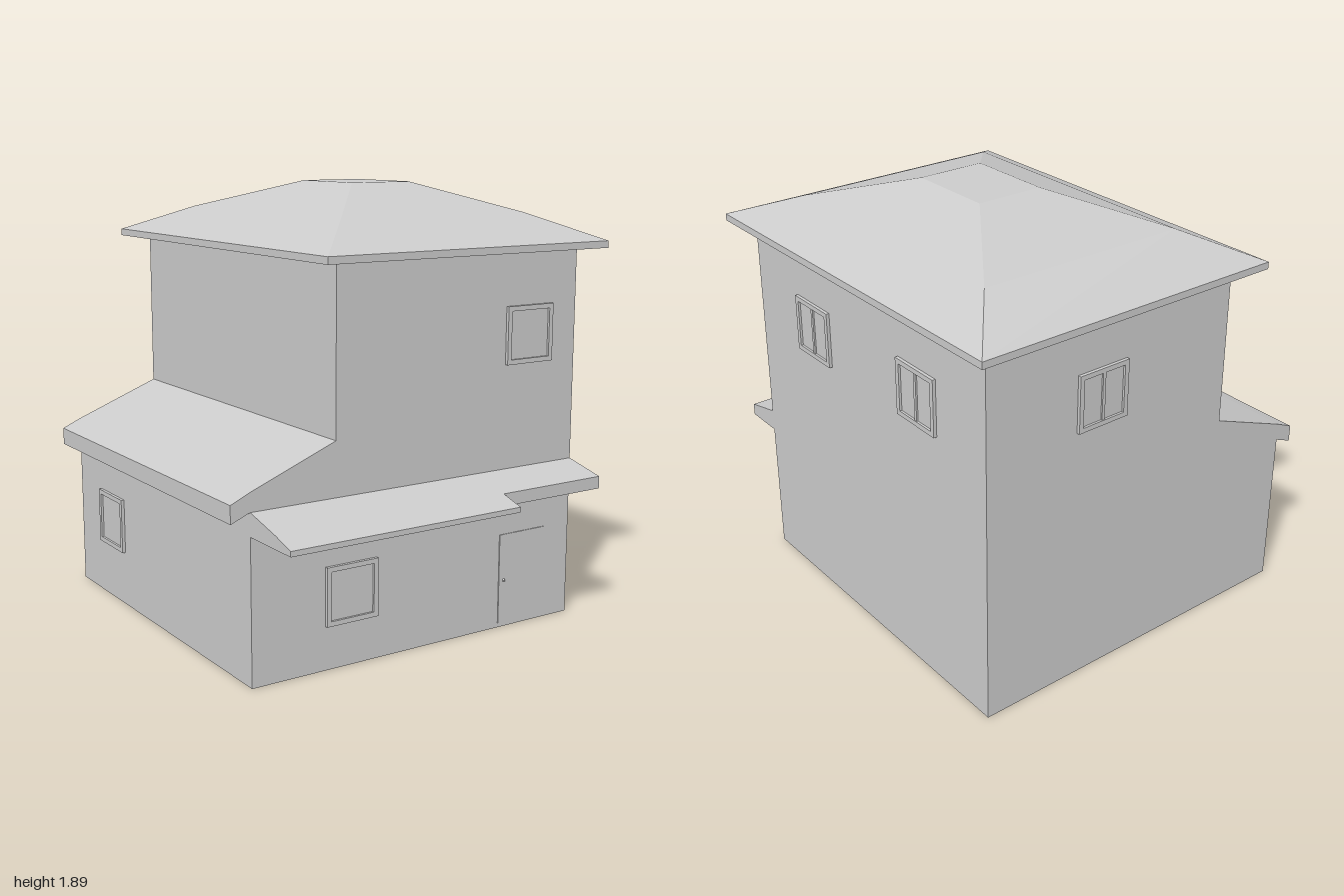
import * as THREE from 'three';

export function createModel() {
  const house = new THREE.Group();
  house.name = 'house';
  const mat = new THREE.MeshStandardMaterial({ color: 0xcccccc, flatShading: true });

  const add = (parent, name, geometry, x = 0, y = 0, z = 0) => {
    const mesh = new THREE.Mesh(geometry, mat);
    mesh.name = name;
    mesh.position.set(x, y, z);
    parent.add(mesh);
    return mesh;
  };
  const extrude = (points, depth) => new THREE.ExtrudeGeometry(
    new THREE.Shape(points.map(([x, y]) => new THREE.Vector2(x, y))),
    { depth, bevelEnabled: false });

  // Walls with the lean-to roof, as one front profile run from back to front
  add(house, 'walls', extrude([
    [-0.81, 0], [0.8, 0], [0.8, 1.63], [-0.425, 1.63], [-0.425, 0.93],
    [-0.81, 0.78], [-0.895, 0.742], [-0.895, 0.667], [-0.81, 0.702],
  ], 1.61), 0, 0, -0.9);

  // Front canopy: a long deep part and a shorter part over the door
  const canopy = (name, profile, x0, x1) =>
    add(house, name, extrude(profile, x1 - x0).rotateY(-Math.PI / 2), x1);
  canopy('longCanopy', [[0.71, 0.605], [1, 0.605], [1, 0.627], [0.895, 0.658], [0.71, 0.702]], -0.81, 0.27);
  canopy('doorCanopy', [[0.71, 0.605], [0.895, 0.605], [0.895, 0.658], [0.71, 0.702]], 0.27, 0.8);

  // Hipped main roof: rectangular rings from eave to ridge, [y, x0, x1, z0, z1]
  const rings = [
    [1.622, -0.525, 0.89, -1, 0.805],
    [1.652, -0.525, 0.89, -1, 0.805],
    [1.765, -0.28, 0.665, -0.72, 0.52],
    [1.89, 0.057, 0.357, -0.29, 0.1],
  ].map(([y, x0, x1, z0, z1]) => [[x0, y, z1], [x1, y, z1], [x1, y, z0], [x0, y, z0]]);
  const pos = [];
  const quad = (a, b, c, d) => pos.push(...a, ...b, ...c, ...a, ...c, ...d);
  for (let i = 0; i < 3; i++) {
    for (let k = 0; k < 4; k++) {
      const n = (k + 1) % 4;
      quad(rings[i][k], rings[i][n], rings[i + 1][n], rings[i + 1][k]);
    }
  }
  quad(...rings[3]);
  quad(...[...rings[0]].reverse());
  const roof = new THREE.BufferGeometry();
  roof.setAttribute('position', new THREE.Float32BufferAttribute(pos, 3));
  roof.computeVertexNormals();
  add(house, 'mainRoof', roof);

  // Windows: a square frame round a recessed pane, some with a centre bar
  const size = 0.245, inner = 0.204, depth = 0.014;
  const square = (s) => [[-s, -s], [s, -s], [s, s], [-s, s]].map(([x, y]) => new THREE.Vector2(x, y));
  const frameShape = new THREE.Shape(square(size / 2));
  frameShape.holes.push(new THREE.Path(square(inner / 2).reverse()));
  const frame = new THREE.ExtrudeGeometry(frameShape, { depth, bevelEnabled: false });
  const addWindow = (name, x, y, z, turn, bar) => {
    const win = new THREE.Group();
    win.name = name;
    win.position.set(x, y, z);
    win.rotation.y = turn * Math.PI / 2;
    add(win, 'frame', frame);
    add(win, 'pane', new THREE.BoxGeometry(inner, inner, 0.004), 0, 0, 0.002);
    if (bar) add(win, 'centreBar', new THREE.BoxGeometry(0.014, inner, 0.011), 0, 0, 0.0055);
    house.add(win);
  };
  addWindow('upperFrontWindow', 0.542, 1.272, 0.71, 0, false);
  addWindow('lowerFrontWindow', -0.352, 0.306, 0.71, 0, false);
  addWindow('leftFrontWindow', 0.8, 1.272, 0.267, 1, true);
  addWindow('leftBackWindow', 0.8, 1.272, -0.473, 1, true);
  addWindow('backWindow', 0.245, 1.272, -0.9, 2, true);
  addWindow('rightWindow', -0.81, 0.367, -0.55, -1, false);

  // Door with a small knob
  add(house, 'door', new THREE.BoxGeometry(0.25, 0.395, 0.006), 0.535, 0.217, 0.711);
  add(house, 'doorKnob', new THREE.SphereGeometry(0.007, 8, 6), 0.435, 0.21, 0.716);

  return house;
}
